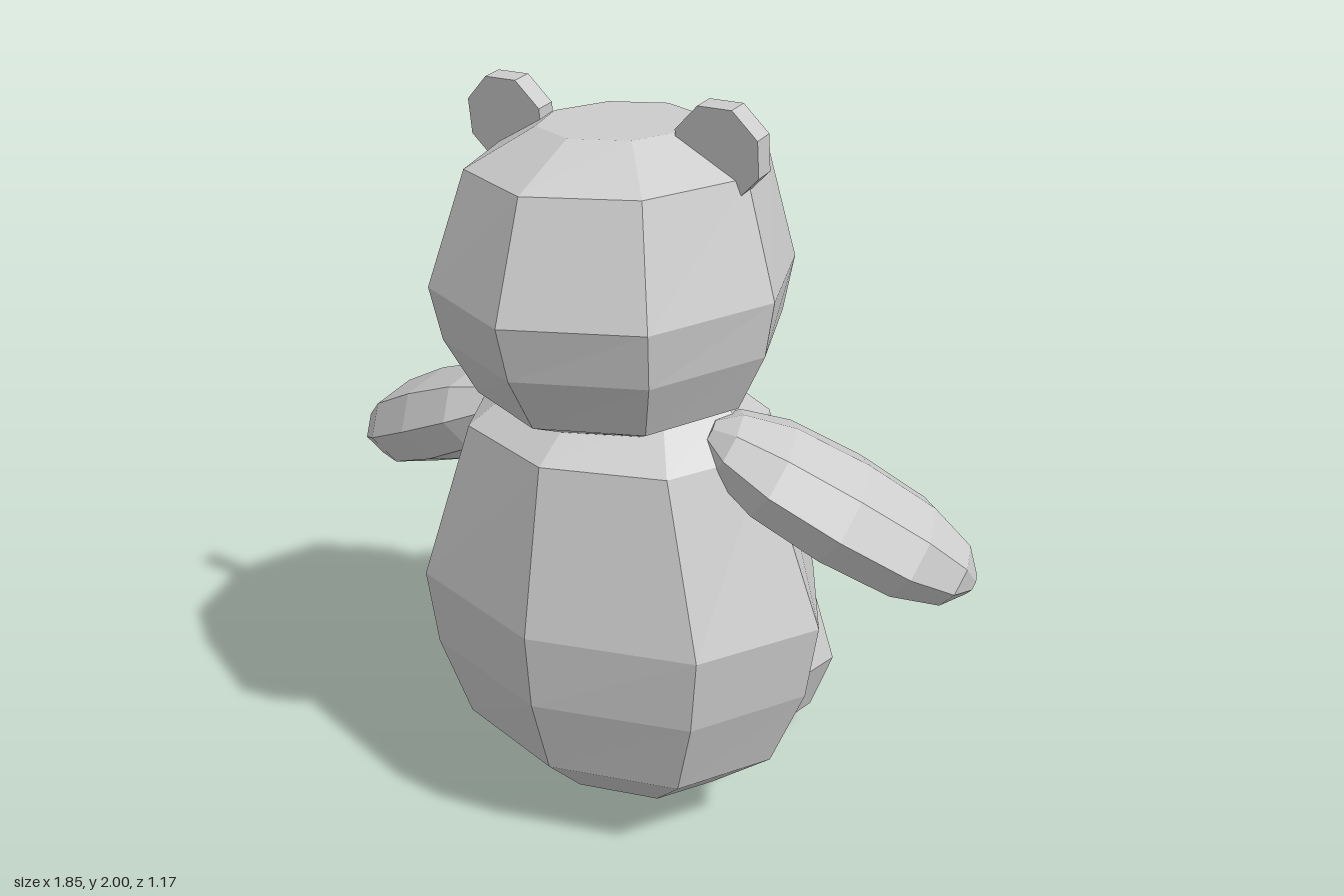
import * as THREE from 'three';

const material = new THREE.MeshStandardMaterial({ color: 0xcccccc, flatShading: true });

// Closed eight-sided loft along +y; each ring is [y, half width in x, z max, z min].
function loft(rings, sides = 8) {
  const pos = [], index = [];
  for (const [y, rx, z1, z0] of rings) {
    for (let k = 0; k < sides; k++) {
      const a = (k / sides) * Math.PI * 2;
      pos.push(rx * Math.sin(a), y, (z1 + z0) / 2 + ((z1 - z0) / 2) * Math.cos(a));
    }
  }
  const last = rings.length - 1, bottom = rings.length * sides, top = bottom + 1;
  for (const [y, , z1, z0] of [rings[0], rings[last]]) pos.push(0, y, (z1 + z0) / 2);
  for (let k = 0; k < sides; k++) {
    const n = (k + 1) % sides;
    for (let i = 0; i < last; i++) {
      const a = i * sides + k, b = i * sides + n;
      index.push(a, b, b + sides, a, b + sides, a + sides);
    }
    index.push(bottom, n, k, top, last * sides + k, last * sides + n);
  }
  const g = new THREE.BufferGeometry();
  g.setAttribute('position', new THREE.Float32BufferAttribute(pos, 3));
  g.setIndex(index);
  g.computeVertexNormals();
  return g;
}

export function createModel() {
  const model = new THREE.Group();
  model.name = 'toyBear';
  const add = (name, geometry) => {
    const mesh = new THREE.Mesh(geometry, material);
    mesh.name = name;
    model.add(mesh);
    return mesh;
  };

  // Barrel-shaped body
  add('body', loft([
    [0.08, 0.08, 0.14, 0.0],
    [0.125, 0.30, 0.29, -0.13],
    [0.27, 0.475, 0.43, -0.26],
    [0.50, 0.565, 0.50, -0.34],
    [0.71, 0.595, 0.52, -0.355],
    [1.15, 0.42, 0.44, -0.28],
    [1.25, 0.30, 0.28, -0.15],
  ])).position.x = 0.01;

  // Head
  add('head', loft([
    [1.205, 0.24, 0.34, -0.19],
    [1.26, 0.35, 0.46, -0.28],
    [1.41, 0.42, 0.55, -0.36],
    [1.55, 0.44, 0.59, -0.40],
    [1.83, 0.35, 0.49, -0.33],
    [1.92, 0.19, 0.30, -0.14],
  ])).position.x = 0.01;

  // Nose, pointing to -z
  const nose = add('nose', loft([
    [0.36, 0.05, 0.045, -0.045],
    [0.385, 0.085, 0.07, -0.07],
    [0.425, 0.075, 0.06, -0.06],
    [0.45, 0.04, 0.03, -0.03],
  ]).rotateX(-Math.PI / 2));
  nose.position.set(0.005, 1.55, 0);

  // Ears: thin octagonal discs, leaning slightly
  for (const [side, name] of [[1, 'leftEar'], [-1, 'rightEar']]) {
    const disc = new THREE.CylinderGeometry(0.117, 0.117, 0.055, 8)
      .rotateY(Math.PI / 8).rotateX(Math.PI / 2);
    const ear = add(name, disc);
    ear.position.set(side * 0.3, 1.89, 0.095);
    ear.rotation.x = 0.13;
  }

  // Arms: flattened rounded paddles from shoulder along a direction
  const armProfile = [
    [0, 0.25], [0.05, 0.62], [0.18, 0.91], [0.38, 1], [0.58, 0.92], [0.71, 0.63], [0.77, 0.2],
  ];
  const arms = [
    ['leftArm', [0.30, 1.2, 0.13], [0.28, -0.18, -0.14], 1],
    ['rightArm', [-0.28, 1.14, 0.08], [-0.28, -0.13, -0.065], 0.93],
  ];
  for (const [name, shoulder, direction, length] of arms) {
    const u = new THREE.Vector3(...direction).normalize();
    const w = new THREE.Vector3().crossVectors(u, new THREE.Vector3(0, 1, 0)).normalize();
    const n = new THREE.Vector3().crossVectors(w, u);
    const g = loft(armProfile.map(([t, r]) => [t * length, 0.195 * r, 0.135 * r, -0.135 * r]));
    g.applyMatrix4(new THREE.Matrix4().makeBasis(w, u, n));
    add(name, g).position.set(...shoulder);
  }

  // Legs: wedges widening towards the upright soles at -z
  const legRings = [
    [0.0, 0.09, 0.09, 0.05],
    [0.18, 0.175, 0.33, 0.03],
    [0.33, 0.205, 0.53, 0.02],
    [0.47, 0.222, 0.525, 0.005],
    [0.55, 0.155, 0.47, 0.07],
    [0.585, 0.07, 0.36, 0.18],
  ];
  for (const [name, x] of [['leftLeg', 0.175], ['rightLeg', -0.3]]) {
    add(name, loft(legRings).rotateX(-Math.PI / 2)).position.x = x;
  }
  return model;
}
